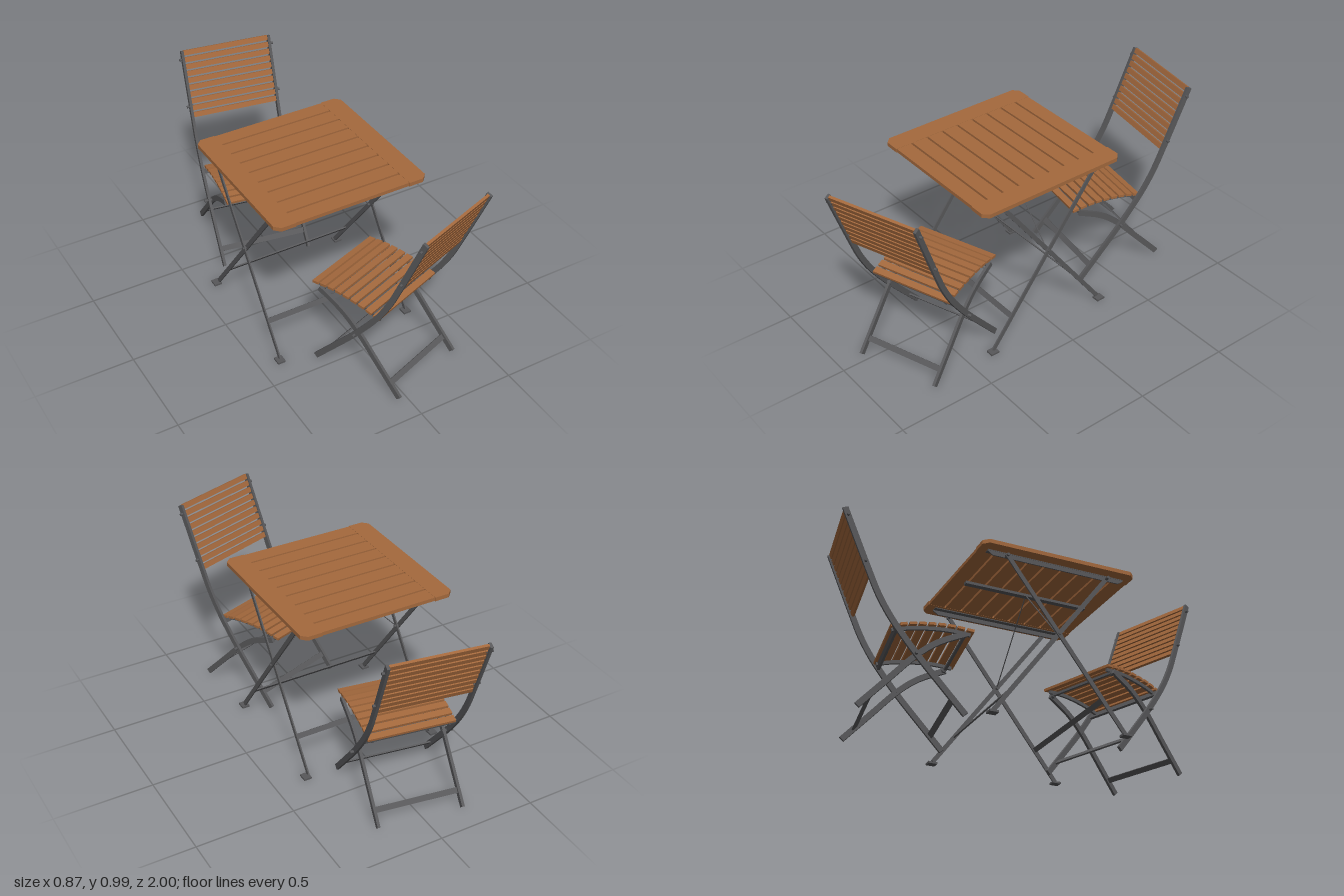
import * as THREE from 'three';

const wood = new THREE.MeshStandardMaterial({ color: 0xa4693d });
wood.name = 'warm wood';
const metal = new THREE.MeshStandardMaterial({ color: 0x58585a });
metal.name = 'dark grey metal';

function add(parent, name, geometry, material, x = 0, y = 0, z = 0, rx = 0) {
  const mesh = new THREE.Mesh(geometry, material);
  mesh.name = name;
  mesh.position.set(x, y, z);
  mesh.rotation.x = rx;
  parent.add(mesh);
  return mesh;
}

const box = (w, h, d) => new THREE.BoxGeometry(w, h, d);

// Smooth side-on curve through [z, y] points
const curveOf = pts => new THREE.SplineCurve(pts.map(p => new THREE.Vector2(...p)));

// Flat bar of given width following a side-on curve, with thickness across x
function flatBar(curve, width, thick, steps) {
  const a = [], b = [];
  for (let i = 0; i <= steps; i++) {
    const p = curve.getPoint(i / steps), t = curve.getTangent(i / steps);
    const n = new THREE.Vector2(-t.y, t.x).multiplyScalar(width / 2);
    a.push(p.clone().add(n));
    b.unshift(p.clone().sub(n));
  }
  const g = new THREE.ExtrudeGeometry(new THREE.Shape([...a, ...b]), { depth: thick, bevelEnabled: false });
  return g.translate(0, 0, -thick / 2).rotateY(-Math.PI / 2);
}

// Bolt lying along x
function bolt(parent, x, y, z, length = 0.03, r = 0.008) {
  const g = new THREE.CylinderGeometry(r, r, length, 8).rotateZ(Math.PI / 2);
  add(parent, 'bolt', g, metal, x, y, z);
}

// Straight round rod between two points
function rod(parent, name, from, to, r) {
  const a = new THREE.Vector3(...from), b = new THREE.Vector3(...to);
  const m = add(parent, name, new THREE.CylinderGeometry(r, r, a.distanceTo(b), 6), metal);
  m.position.copy(a).add(b).multiplyScalar(0.5);
  m.quaternion.setFromUnitVectors(new THREE.Vector3(0, 1, 0), b.sub(a).normalize());
}

// Folding chair: faces +z, with the top of its backrest at z = 0
function makeChair() {
  const chair = new THREE.Group();
  const upright = curveOf([[0.006, 0.985], [0.07, 0.825], [0.135, 0.665], [0.185, 0.55],
    [0.255, 0.43], [0.365, 0.283], [0.48, 0.147], [0.598, 0.01]]);
  const rearLeg = curveOf([[0.115, 0.01], [0.25, 0.155], [0.365, 0.278], [0.47, 0.36], [0.6, 0.42]]);
  const seat = curveOf([[0.265, 0.422], [0.34, 0.44], [0.45, 0.452], [0.54, 0.452], [0.622, 0.442]]);
  const rail = curveOf([[0.255, 0.404], [0.34, 0.425], [0.45, 0.437], [0.54, 0.437], [0.625, 0.427]]);

  for (const s of [-1, 1]) {
    add(chair, 'backUpright', flatBar(upright, 0.028, 0.014, 24), metal, s * 0.235);
    add(chair, 'rearLeg', flatBar(rearLeg, 0.028, 0.014, 16), metal, s * 0.213);
    add(chair, 'seatRail', flatBar(rail, 0.018, 0.012, 12), metal, s * 0.192);
    bolt(chair, s * 0.232, 0.28, 0.365, 0.055);
    bolt(chair, s * 0.205, 0.415, 0.59, 0.03, 0.011);
    bolt(chair, s * 0.238, 0.945, 0.022, 0.035, 0.007);
    bolt(chair, s * 0.238, 0.715, 0.115, 0.035, 0.007);
  }

  // Cross bars of both leg frames and of the seat
  add(chair, 'rearStretcher', box(0.42, 0.028, 0.008), metal, 0, 0.07, 0.172, 0.75);
  add(chair, 'frontStretcher', box(0.46, 0.028, 0.008), metal, 0, 0.08, 0.538, -0.7);
  add(chair, 'seatCrossBar', box(0.46, 0.024, 0.014), metal, 0, 0.403, 0.272, -0.3);
  add(chair, 'seatFrontBar', box(0.41, 0.012, 0.014), metal, 0, 0.418, 0.595);

  // Backrest slats
  for (let i = 0; i < 10; i++) {
    const f = i / 9;
    add(chair, 'backSlat', box(0.456, 0.026, 0.013), wood, 0, 0.976 - 0.303 * f, 0.011 + 0.122 * f, -0.385);
  }
  // Arched seat slats
  for (let i = 0; i < 9; i++) {
    const p = seat.getPointAt(i / 8), t = seat.getTangentAt(i / 8);
    add(chair, 'seatSlat', box(0.435, 0.013, 0.034), wood, 0, p.y, p.x, -Math.atan2(t.y, t.x));
  }
  return chair;
}

function makeTable() {
  const table = new THREE.Group();
  table.name = 'table';

  // End boards with clipped outer corners
  for (const s of [-1, 1]) {
    const outline = [[0.3, -0.402], [0.375, -0.402], [0.402, -0.375], [0.402, 0.375], [0.375, 0.402], [0.3, 0.402]];
    const shape = new THREE.Shape(outline.map(([x, z]) => new THREE.Vector2(s * x, z)));
    const g = new THREE.ExtrudeGeometry(shape, { depth: 0.02, bevelEnabled: false }).rotateX(-Math.PI / 2);
    add(table, 'endBoard', g, wood, 0, 0.835, 0);
  }
  // Top slats
  for (let i = 0; i < 9; i++) {
    add(table, 'topSlat', box(0.6, 0.018, 0.079), wood, 0, 0.845, (i - 4) * 0.0897);
  }

  // Rails under the top, with sloping ends
  const railShape = new THREE.Shape([[-0.36, 0.835], [-0.36, 0.825], [-0.335, 0.808],
    [0.335, 0.808], [0.36, 0.825], [0.36, 0.835]].map(p => new THREE.Vector2(...p)));
  const railGeo = new THREE.ExtrudeGeometry(railShape, { depth: 0.006, bevelEnabled: false }).rotateY(-Math.PI / 2);
  for (const s of [-1, 1]) {
    add(table, 'sideRail', railGeo, metal, s * 0.342 + 0.003);
    add(table, 'sideRailFlange', box(0.032, 0.004, 0.72), metal, s * 0.33, 0.832, 0);
  }
  add(table, 'centreRail', box(0.028, 0.014, 0.66), metal, 0, 0.828, 0);

  // Two crossing leg frames, one slightly inside the other
  for (const [dir, half] of [[1, 0.361], [-1, 0.349]]) {
    const leg = flatBar(curveOf([[dir * 0.335, 0.012], [0, 0.46], [dir * -0.27, 0.82]]), 0.022, 0.007, 4);
    for (const s of [-1, 1]) {
      add(table, 'tableLeg', leg, metal, s * half);
      add(table, 'foot', box(0.04, 0.01, 0.045), metal, s * 0.362, 0.005, dir * 0.337);
      bolt(table, s * 0.357, 0.815, dir * -0.266, 0.035);
    }
    add(table, 'tableStretcher', box(half * 2, 0.026, 0.007), metal, 0, 0.164, dir * 0.221, dir * -0.64);
  }

  // Pivots and diagonal braces
  for (const s of [-1, 1]) {
    bolt(table, s * 0.352, 0.46, 0, 0.036, 0.007);
    rod(table, 'brace', [s * 0.342, 0.465, 0], [s * 0.01, 0.822, 0], 0.0028);
  }
  return table;
}

export function createModel() {
  const model = new THREE.Group();
  model.name = 'foldingGardenSet';

  const table = makeTable();
  table.position.set(-0.03, 0, 0.025);

  const backChair = makeChair();
  backChair.name = 'backChair';
  backChair.position.set(0.03, 0, -0.955);
  backChair.rotation.y = THREE.MathUtils.degToRad(-9.2);

  const frontChair = makeChair();
  frontChair.name = 'frontChair';
  frontChair.position.set(0.2, 0, 0.908);
  frontChair.rotation.y = THREE.MathUtils.degToRad(199.7);

  model.add(table, backChair, frontChair);
  return model;
}
